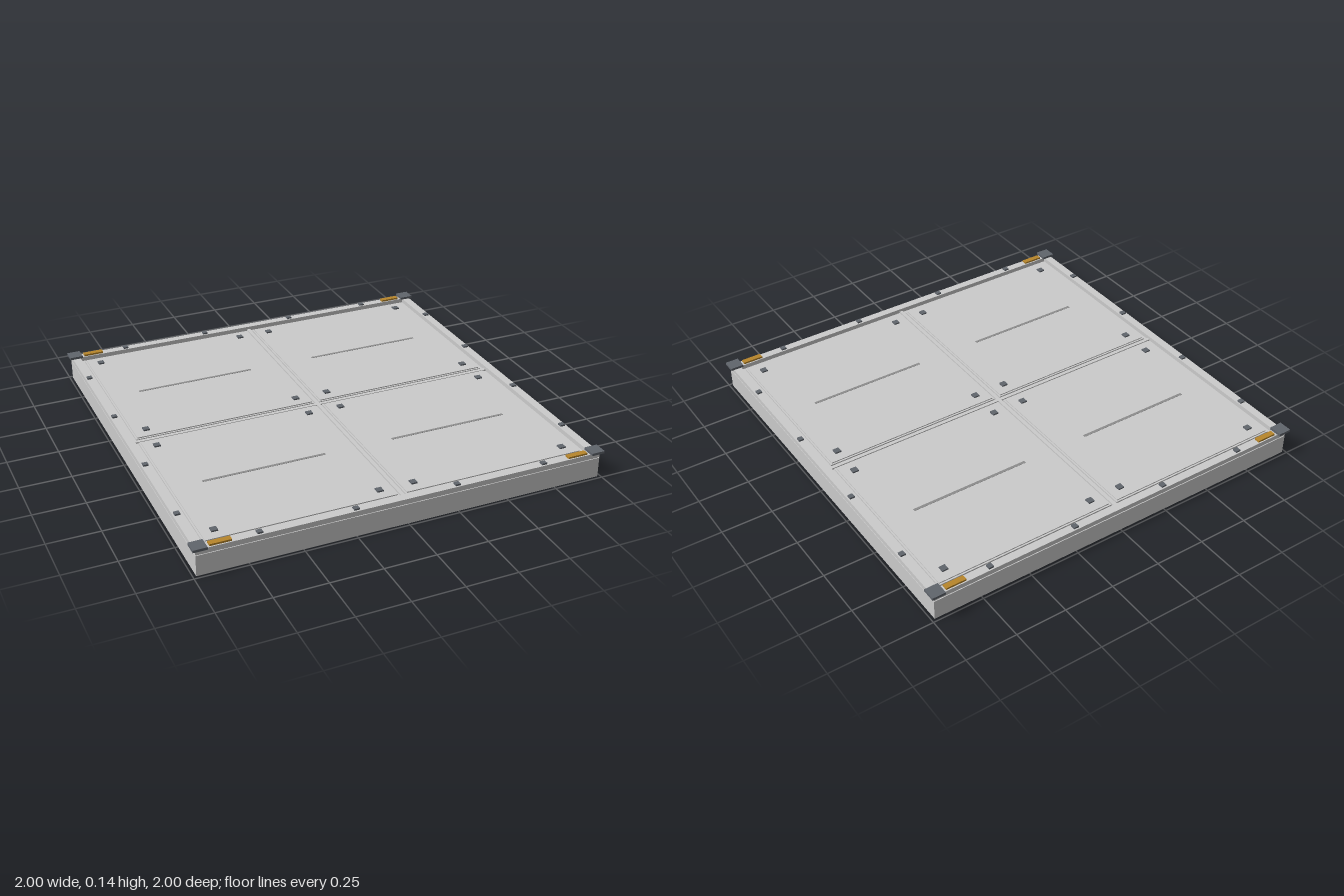
import * as THREE from 'three';

export function createModel() {
  const model = new THREE.Group();
  const mat = (color) => new THREE.MeshStandardMaterial({ color });
  const grey = mat(0xcccccc);
  const dark = mat(0x60656c);
  const amber = mat(0xb8862b);
  const seamGrey = mat(0x8c8c8c);

  // box given by its centre in plan and its bottom and top heights
  const slab = (name, material, x, z, w, d, y0, y1, parent = model) => {
    const mesh = new THREE.Mesh(new THREE.BoxGeometry(w, y1 - y0, d), material);
    mesh.position.set(x, (y0 + y1) / 2, z);
    mesh.name = name;
    parent.add(mesh);
    return mesh;
  };

  // foundation and the slightly inset deck on it
  slab('foundation', grey, 0, 0, 1.97, 1.97, 0, 0.1);
  slab('deck', grey, 0, 0, 1.962, 1.962, 0.1, 0.106);

  // four edge rails with bolts
  for (const s of [-1, 1]) {
    slab('endRail', grey, 0, s * 0.965, 1.97, 0.04, 0.105, 0.128);
    slab('sideRail', grey, s * 0.965, 0, 0.04, 1.89, 0.105, 0.128);
    for (const p of [-0.693, -0.247, 0.247, 0.693]) {
      slab('railBolt', dark, p, s * 0.965, 0.025, 0.025, 0.128, 0.136);
      slab('railBolt', dark, s * 0.965, p, 0.025, 0.025, 0.128, 0.136);
    }
  }

  // raised strips in the cross seam between the panels
  slab('seamStripLong', grey, 0, 0, 0.018, 1.89, 0.105, 0.114);
  slab('seamStripCross', grey, 0, 0, 1.89, 0.018, 0.105, 0.1135);

  for (const sx of [-1, 1]) {
    for (const sz of [-1, 1]) {
      // stepped floor panel with corner bolts and a centre groove
      const panel = new THREE.Group();
      panel.name = 'floorPanel';
      panel.position.set(sx * 0.471, 0, sz * 0.471);
      model.add(panel);
      slab('panelBase', grey, 0, 0, 0.912, 0.912, 0.105, 0.114, panel);
      slab('panelTop', grey, 0, 0, 0.896, 0.896, 0.114, 0.119, panel);
      slab('panelGroove', seamGrey, 0, 0, 0.6, 0.014, 0.117, 0.12, panel);
      for (const bx of [-1, 1]) {
        for (const bz of [-1, 1]) {
          slab('panelBolt', dark, bx * 0.387, bz * 0.387, 0.03, 0.03, 0.119, 0.126, panel);
        }
      }

      // corner plate and marker strip beside it
      slab('cornerPlate', dark, sx * 0.967, sz * 0.967, 0.066, 0.066, 0.128, 0.14);
      slab('markerStrip', amber, sx * 0.87, sz * 0.965, 0.1, 0.028, 0.128, 0.137);
    }
  }
  return model;
}
